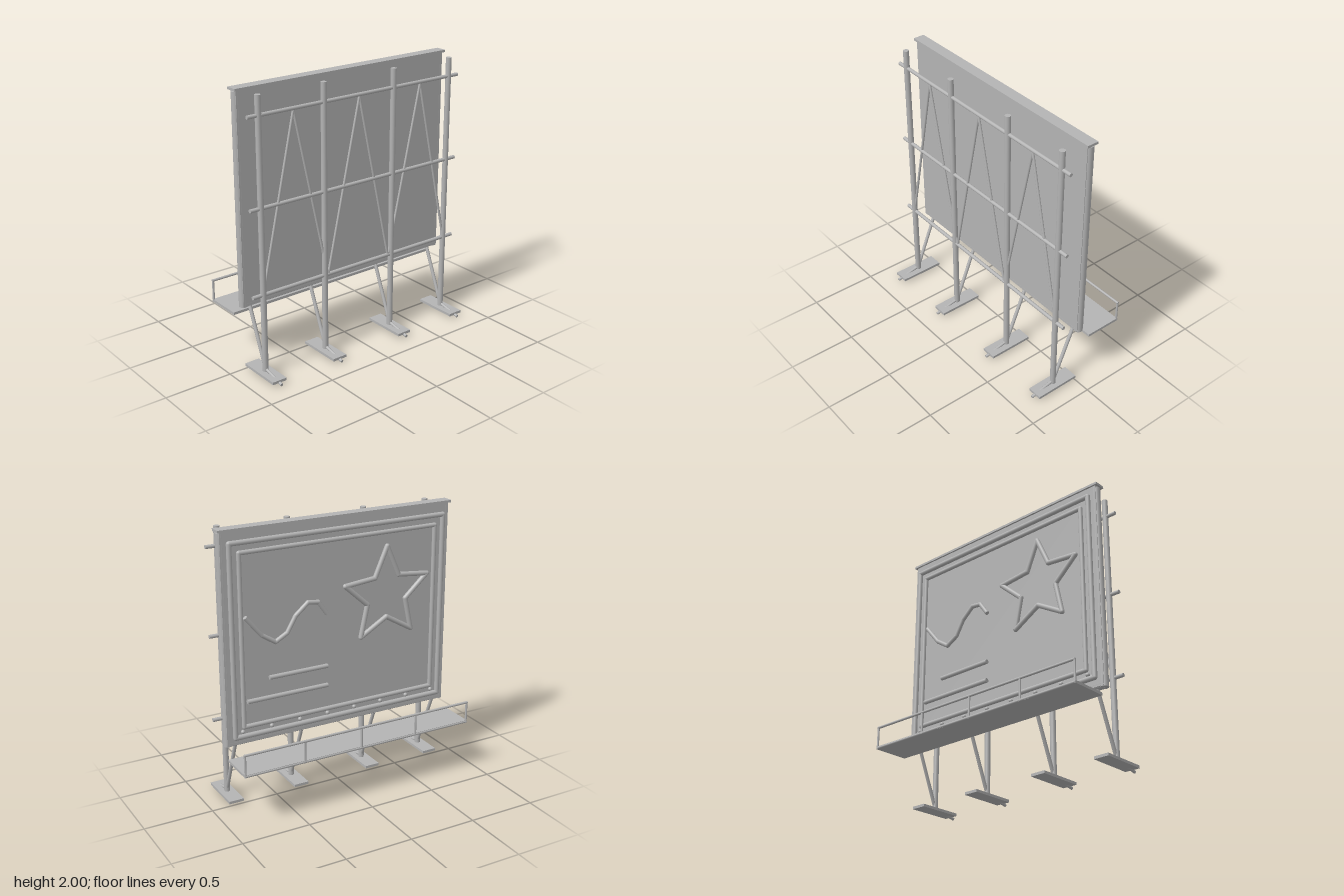
import * as THREE from 'three';

const metal = new THREE.MeshStandardMaterial({ color: 0xb4b4b4 });
metal.name = 'greyMetal';

const V = (x, y, z) => new THREE.Vector3(x, y, z);

export function createModel() {
  const model = new THREE.Group();
  model.name = 'billboard';

  const add = (name, geometry, parent = model) => {
    const mesh = new THREE.Mesh(geometry, metal);
    mesh.name = name;
    parent.add(mesh);
    return mesh;
  };

  // box given by its min and max corners
  const box = (name, x0, x1, y0, y1, z0, z1, parent) => {
    const mesh = add(name, new THREE.BoxGeometry(x1 - x0, y1 - y0, z1 - z0), parent);
    mesh.position.set((x0 + x1) / 2, (y0 + y1) / 2, (z0 + z1) / 2);
    return mesh;
  };

  // round bar between two points
  const bar = (name, a, b, r, parent, sides = 12) => {
    const mesh = add(name, new THREE.CylinderGeometry(r, r, a.distanceTo(b), sides), parent);
    mesh.position.copy(a).add(b).multiplyScalar(0.5);
    mesh.quaternion.setFromUnitVectors(V(0, 1, 0), b.clone().sub(a).normalize());
    return mesh;
  };

  // bent tube through flat points, with round elbows
  const bentTube = (name, points, r, z, closed) => {
    const group = new THREE.Group();
    group.name = name;
    model.add(group);
    const pts = points.map(([x, y]) => V(x, y, z));
    pts.forEach((p, i) => {
      const inside = closed || (i > 0 && i < pts.length - 1);
      if (inside) add('elbow', new THREE.SphereGeometry(r, 12, 8), group).position.copy(p);
      if (closed || i < pts.length - 1) bar('tubeSection', p, pts[(i + 1) % pts.length], r, group);
    });
    return group;
  };

  const rectangle = (x, y0, y1) => [[-x, y0], [x, y0], [x, y1], [-x, y1]];

  // sign panel, rounded edge frame and top cap
  const panelZ = -0.007;
  box('signPanel', -0.883, 0.883, 0.48, 1.985, panelZ - 0.029, panelZ + 0.029);
  for (const s of [-1, 1]) bar('sideFrame', V(s * 0.867, 0.475, panelZ), V(s * 0.867, 1.975, panelZ), 0.03);
  bar('bottomFrame', V(-0.867, 0.497, panelZ), V(0.867, 0.497, panelZ), 0.03);
  box('topCap', -0.9, 0.9, 1.983, 2, panelZ - 0.042, panelZ + 0.042);

  // support posts with foot, anchor stake and slanted brace
  const postZ = 0.163;
  for (const x of [-0.815, -0.3, 0.3, 0.815]) {
    const support = new THREE.Group();
    support.name = 'support';
    model.add(support);
    bar('post', V(x, 0.03, postZ), V(x, 1.98, postZ), 0.021, support);
    box('foot', x - 0.056, x + 0.056, 0.018, 0.037, -0.004, 0.331, support);
    bar('anchorStake', V(x, 0.011, 0.354), V(x, 0.054, 0.155), 0.011, support);
    bar('slantedBrace', V(x, 0.05, 0.163), V(x, 0.475, -0.012), 0.013, support);
  }

  // cross rails
  for (const y of [0.607, 1.222, 1.845]) {
    bar('crossRail', V(-0.9, y, postZ), V(0.9, y, postZ), 0.0135);
  }

  // diagonal braces between the posts
  for (const x of [-0.545, 0, 0.545]) {
    for (const s of [-1, 1]) {
      bar('diagonalBrace', V(x + s * 0.27, 0.607, postZ), V(x, 1.835, postZ), 0.009);
    }
  }

  // tube borders on the display face
  const tubeZ = -0.054;
  bentTube('outerBorder', rectangle(0.827, 0.541, 1.907), 0.018, tubeZ, true);
  bentTube('innerBorder', rectangle(0.76, 0.61, 1.838), 0.016, tubeZ, true);

  // small lamps along the lower border
  for (let i = 0; i < 8; i++) {
    const lamp = add('lamp', new THREE.SphereGeometry(0.015, 10, 8));
    lamp.position.set(-0.77 + i * 0.22, 0.575, tubeZ + 0.003);
  }

  // star outline
  const star = [];
  for (let i = 0; i < 10; i++) {
    const a = i * Math.PI / 5;
    const r = i % 2 ? 0.165 : 0.353;
    star.push([-0.368 + r * Math.sin(a), 1.383 + r * Math.cos(a)]);
  }
  bentTube('starTube', star, 0.018, tubeZ, true);

  // wavy tube and two straight bars
  bentTube('waveTube', [[0.73, 1.395], [0.61, 1.25], [0.51, 1.185], [0.42, 1.235],
    [0.355, 1.345], [0.26, 1.425], [0.18, 1.415], [0.112, 1.32]], 0.016, tubeZ, false);
  bar('upperLineTube', V(0.11, 0.935, tubeZ), V(0.56, 0.935, tubeZ), 0.016);
  bar('lowerLineTube', V(0.11, 0.79, tubeZ), V(0.73, 0.79, tubeZ), 0.016);

  // service walkway with guard rail
  const railZ = -0.346;
  box('walkway', -0.9, 0.9, 0.388, 0.407, -0.35, -0.08);
  for (const y of [0.396, 0.55]) bar('guardRail', V(-0.9, y, railZ), V(0.9, y, railZ), 0.009);
  for (let i = -2; i <= 2; i++) {
    bar('guardPost', V(i * 0.447, 0.388, railZ), V(i * 0.447, 0.555, railZ), 0.008);
  }

  return model;
}
